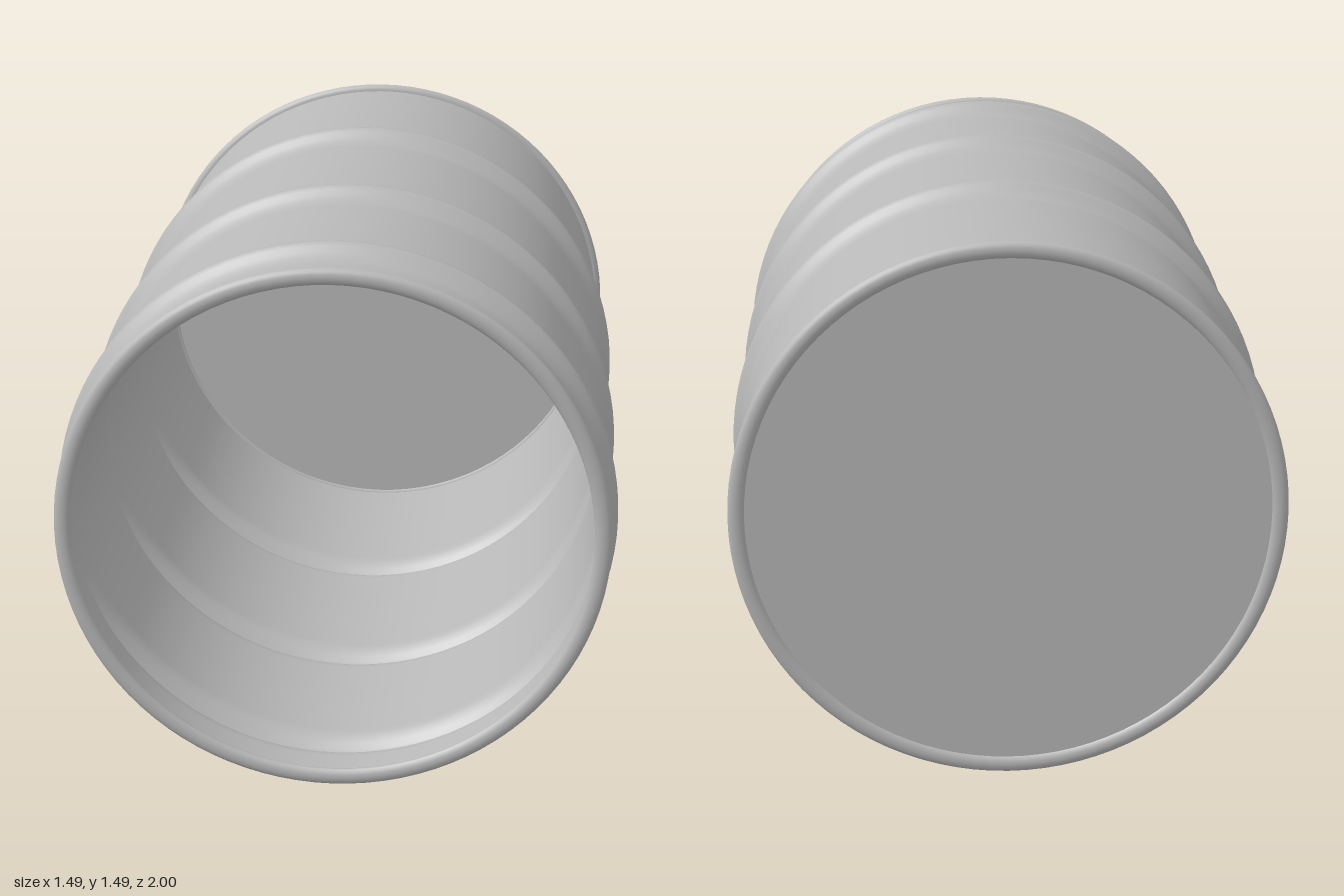
import * as THREE from 'three';

const SEGMENTS = 96;
const RADIUS = 0.705;
const CENTRE_Y = 0.743;
const RIBS = [-0.352, 0.278, 0.815];
// Half of a rib's flare: distance along the drum, height above the wall
const FLARE = [[0.075, 0], [0.058, 0.002], [0.042, 0.008], [0.028, 0.018], [0.016, 0.03], [0.007, 0.037]];

export function createModel() {
  const model = new THREE.Group();
  model.name = 'openDrum';
  const steel = new THREE.MeshStandardMaterial({ color: 0xb8b8b8 });
  steel.name = 'grey steel';

  // Revolve a profile of [radius, z] points around the drum's long axis
  function revolve(name, profile) {
    const geometry = new THREE.LatheGeometry(profile.map(([r, z]) => new THREE.Vector2(r, z)), SEGMENTS);
    geometry.rotateX(Math.PI / 2);
    return add(name, geometry);
  }

  function add(name, geometry) {
    const mesh = new THREE.Mesh(geometry, steel);
    mesh.name = name;
    mesh.position.y = CENTRE_Y;
    model.add(mesh);
    return mesh;
  }

  // Wall profile from back to front, swelling at each rib
  function wall(radius) {
    const points = [[radius, -0.985]];
    for (const z of RIBS) {
      for (const [d, h] of FLARE) points.push([radius + h, z - d]);
      points.push([radius + 0.038, z]);
      for (const [d, h] of [...FLARE].reverse()) points.push([radius + h, z + d]);
    }
    points.push([radius, 0.985]);
    return points;
  }
  revolve('outerWall', wall(RADIUS));
  revolve('innerWall', wall(RADIUS - 0.012).reverse());

  // Rolled rims at both ends
  for (const [name, z] of [['frontRim', 0.986], ['backRim', -0.986]]) {
    const ring = [];
    for (let i = 0; i <= 16; i++) {
      const a = (i / 16) * Math.PI * 2;
      ring.push([0.702 + 0.022 * Math.cos(a), z + 0.014 * Math.sin(a)]);
    }
    revolve(name, ring);
  }

  // Closed back end, slightly recessed inside its rim
  const base = new THREE.CylinderGeometry(0.698, 0.698, 0.012, SEGMENTS);
  base.rotateX(Math.PI / 2);
  add('base', base).position.z = -0.984;

  return model;
}
